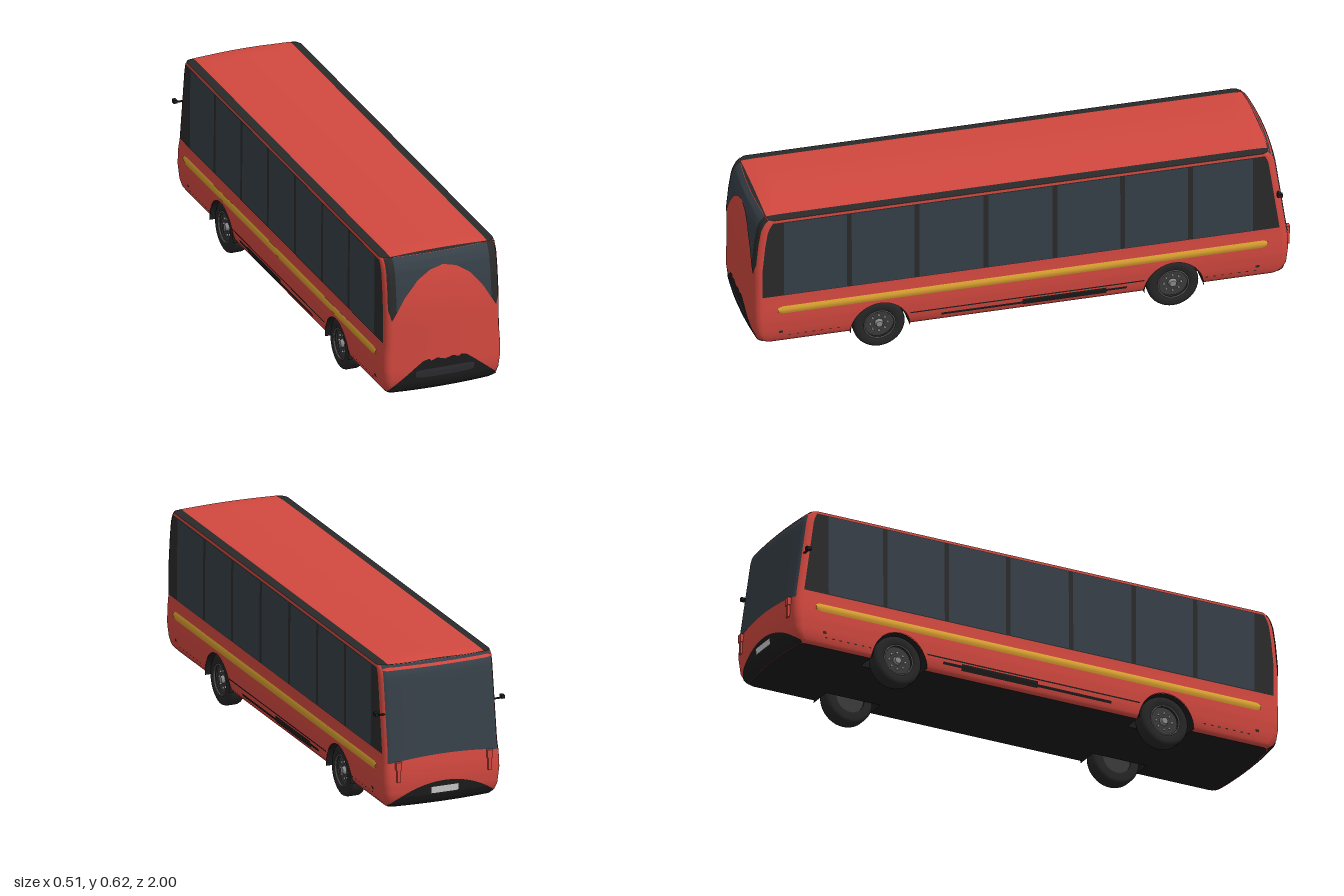
import * as THREE from 'three';
import { ParametricGeometry } from 'three/addons/geometries/ParametricGeometry.js';

const RED = 0xd2483f, DARK = 0x2a2a2a, BLACK = 0x1c1c1c, GLASS = 0x363f47, GOLD = 0xd9a030, STEEL = 0x8a8a8a;
const FLOOR = 0.08, BELT = 0.28, EAVE = 0.605, AXLES = [0.525, -0.56], ARCH = 0.11, ARCH_H = 0.115;

// body profiles by height: half width, +z end and -z end
const WIDTH = [[0.08, 0.205], [0.095, 0.217], [0.12, 0.223], [0.18, 0.228], [0.24, 0.226], [0.28, 0.2225], [0.605, 0.221]];
const ENDS = {
  1: [[0.08, 0.965], [0.095, 0.985], [0.12, 0.995], [0.16, 1], [0.4, 1], [0.5, 0.99], [0.56, 0.98], [0.59, 0.967], [0.605, 0.95]],
  '-1': [[0.08, 0.965], [0.095, 0.98], [0.12, 0.992], [0.18, 0.998], [0.24, 0.996], [0.4, 0.973], [0.56, 0.95], [0.59, 0.942], [0.605, 0.925]],
};
const ROWS = [0.08, 0.087, 0.095, 0.12, 0.14, 0.16, 0.18, 0.21, 0.24, 0.28, 0.34, 0.4, 0.45, 0.5, 0.56, 0.59, 0.605];

function look(table, k) {
  if (k <= table[0][0]) return table[0][1];
  for (let i = 1; i < table.length; i++) {
    const [a, p] = table[i - 1], [b, q] = table[i];
    if (k <= b) return p + ((q - p) * (k - a)) / (b - a);
  }
  return table[table.length - 1][1];
}
const lerp = THREE.MathUtils.lerp;
const width = (y) => look(WIDTH, y);
// end surface: t = -1..1 across the width, bowed, with rounded corners
function endZ(s, t, y) {
  const q = Math.min(1, Math.max(0, (Math.abs(t) - 0.886) / 0.114));
  return s * (look(ENDS[s], y) - 0.015 * t * t - 0.025 * (1 - Math.sqrt(1 - q * q)));
}
const sideZ = (z, y) => THREE.MathUtils.clamp(z, -look(ENDS[-1], y) + 0.04, look(ENDS[1], y) - 0.04);

export function createModel() {
  const bus = new THREE.Group();
  bus.name = 'bus';

  function add(name, geometry, color, x = 0, y = 0, z = 0, parent = bus) {
    const mesh = new THREE.Mesh(geometry, new THREE.MeshStandardMaterial({ color, side: THREE.DoubleSide }));
    mesh.name = name;
    mesh.position.set(x, y, z);
    parent.add(mesh);
    return mesh;
  }
  const box = (name, color, w, h, d, x, y, z) => add(name, new THREE.BoxGeometry(w, h, d), color, x, y, z);
  function sheet(name, color, fn, nu, nv) {
    const g = new ParametricGeometry(fn, nu, nv);
    g.computeVertexNormals();
    return add(name, g, color);
  }
  // skin panel on an end of the body; lo and hi are heights as functions of x
  function endPanel(name, color, s, t0, t1, lo, hi, lift = 0.002, nu = 60) {
    sheet(name, color, (u, v, p) => {
      const t = s * lerp(t0, t1, u), x0 = t * 0.222;
      const y = lerp(lo(x0), hi(x0), v);
      p.set(t * width(y) * (1 + lift / 0.22), y, endZ(s, t, y) + s * lift);
    }, nu, 16);
  }
  // skin panel on a side of the body
  function sidePanel(name, color, s, zFront, zBack, y0, y1, lift = 0.002, nu = 8) {
    sheet(name, color, (u, v, p) => {
      const y = lerp(y0, y1, v);
      p.set(s * (width(y) + lift), y, sideZ(lerp(zFront, zBack, s > 0 ? u : 1 - u), y));
    }, nu, 16);
  }

  // body shell: columns run round the plan, skirt rows are lifted over the wheel arches
  const across = [0, 0.2, 0.4, 0.6, 0.8, 0.886, 0.92, 0.95, 0.975, 0.993, 1];
  const ts = [...across.slice(1).reverse().map((t) => -t), ...across];
  const along = [0.88, 0.75, 0.2, 0, -0.2, -0.8];
  for (const c of AXLES) for (let k = 0; k <= 20; k++) along.push(c + ARCH * Math.cos((k / 20) * Math.PI));
  along.sort((a, b) => b - a);
  const columns = [
    ...ts.map((t) => ({ s: 1, t })), ...along.map((z) => ({ side: 1, z })),
    ...ts.map((t) => ({ s: -1, t: -t })), ...along.slice().reverse().map((z) => ({ side: -1, z })),
    { s: 1, t: -1 },
  ];
  function hem(z) {
    let y = FLOOR;
    for (const c of AXLES) {
      const d = (z - c) / ARCH;
      if (Math.abs(d) < 1) y += ARCH_H * Math.sqrt(1 - d * d);
    }
    return y;
  }
  sheet('bodyShell', RED, (u, v, p) => {
    const c = columns[Math.round(u * (columns.length - 1))];
    let y = ROWS[Math.round(v * (ROWS.length - 1))];
    if (c.side) {
      if (y < BELT) y = lerp(hem(c.z), BELT, (y - FLOOR) / (BELT - FLOOR));
      p.set(c.side * width(y), y, c.z);
    } else p.set(c.t * width(y), y, endZ(c.s, c.t, y));
  }, columns.length - 1, ROWS.length - 1);

  // domed roof: dark border with a red centre sheet
  function roof(name, color, half, z0, z1, lift) {
    sheet(name, color, (u, v, p) => {
      const t = half * Math.sin((v - 0.5) * Math.PI);
      const back = endZ(-1, t, EAVE), front = endZ(1, t, EAVE);
      const z = lerp(Math.max(back, z0), Math.min(front, z1), u);
      const edge = Math.min(1, Math.max(0, Math.min(z - back, front - z) / 0.05));
      p.set(t * 0.221, EAVE + lift + 0.01 * (1 - t * t) * Math.sqrt(edge), z);
    }, 80, 24);
  }
  roof('roofBorder', DARK, 1, -1, 1, 0);
  roof('roofSheet', RED, 0.85, -0.922, 0.938, 0.0015);

  // underside with notches for the wheels
  const outline = [];
  const notches = AXLES.flatMap((c) => [[0, c + ARCH], [1, c + ARCH], [1, c - ARCH], [0, c - ARCH]]);
  const edge = (s, list) => list.forEach(([inner, z]) => outline.push(new THREE.Vector2(s * (inner ? 0.13 : 0.205), z)));
  const endEdge = (s, dir) => ts.forEach((t) => outline.push(new THREE.Vector2(dir * t * 0.205, endZ(s, t, FLOOR))));
  endEdge(1, 1);
  edge(1, notches);
  endEdge(-1, -1);
  edge(-1, notches.slice().reverse());
  add('underside', new THREE.ShapeGeometry(new THREE.Shape(outline)).rotateX(Math.PI / 2), BLACK, 0, FLOOR, 0);

  // +z end: arched red panel framed by dark glass, dark bumper
  const archLine = [[0, 0.565], [0.05, 0.553], [0.1, 0.52], [0.15, 0.46], [0.2, 0.375], [0.212, 0.42]];
  const archY = (x) => look(archLine, Math.abs(x));
  const eave = () => EAVE;
  endPanel('rearGlass', GLASS, 1, -0.82, 0.82, archY, eave);
  for (const s of [-1, 1]) endPanel('rearPillar', DARK, 1, s > 0 ? 0.82 : -0.955, s > 0 ? 0.955 : -0.82, archY, eave, 0.002, 16);
  const bumperLine = [[0, 0.202], [0.03, 0.211], [0.052, 0.202], [0.06, 0.211], [0.083, 0.204], [0.2, 0.11], [0.222, 0.085]];
  endPanel('rearBumper', BLACK, 1, -0.97, 0.97, () => FLOOR, (x) => look(bumperLine, Math.abs(x)), 0.002, 120);
  endPanel('rearBumperPanel', 0x2d2d31, 1, -0.49, 0.49, (x) => 0.14 + 0.006 * (Math.abs(x) / 0.11) ** 8, (x) => 0.172 - 0.006 * (Math.abs(x) / 0.11) ** 8, 0.004);

  // -z end: windscreen, curved bumper, plate and lamps
  endPanel('windscreen', GLASS, -1, -0.95, 0.95, (x) => 0.27 - 0.4 * x * x, eave);
  endPanel('bumper', BLACK, -1, -0.97, 0.97, () => FLOOR, (x) => 0.17 - 1.75 * x * x);
  endPanel('plate', 0xcccccc, -1, -0.23, 0.23, () => 0.125, () => 0.15, 0.005, 8);

  for (const s of [-1, 1]) {
    // side windows
    sidePanel('windowBand', DARK, s, 1, -1, BELT + 0.003, 0.595, 0.002, 12);
    const posts = [0.89, 0.64, 0.39, 0.135, -0.12, -0.37, -0.62, -0.86];
    for (let i = 0; i < 7; i++) sidePanel('sideWindow', GLASS, s, posts[i] - 0.009, posts[i + 1] + 0.009, BELT + 0.006, 0.592, 0.0035);

    // gold stripe with tapered ends
    sheet('stripe', GOLD, (u, v, p) => {
      const z = 0.905 * Math.cos(Math.PI * (s > 0 ? u : 1 - u));
      const h = 0.015 * Math.min(1, 0.5 + (0.905 - Math.abs(z)) / 0.03);
      const y = 0.224 + h * (2 * v - 1);
      p.set(s * (width(y) + 0.002 + 0.004 * Math.sin(Math.PI * v)), y, z);
    }, 60, 8);

    // skirt seam, vents and marker dots
    sidePanel('skirtSeam', BLACK, s, 0.415, -0.45, 0.133, 0.138, 0.002);
    sidePanel('skirtVent', BLACK, s, 0.3, 0, 0.107, 0.117, 0.003);
    sidePanel('skirtVent', BLACK, s, 0, -0.31, 0.103, 0.128, 0.003);
    sidePanel('skirtVent', BLACK, s, -0.31, -0.385, 0.112, 0.122, 0.003);
    for (const end of [1, -1]) for (let i = 0; i < 7; i++) {
      const z = end * (0.68 + i * 0.03);
      sidePanel('marker', DARK, s, z + 0.005, z - 0.005, 0.11, 0.114, 0.002, 1);
    }
    sidePanel('markerLamp', DARK, s, 0.9, 0.885, 0.125, 0.135, 0.002, 1);
    sidePanel('markerLamp', DARK, s, -0.86, -0.875, 0.125, 0.135, 0.002, 1);

    // mirrors and lamp brackets
    box('mirrorArm', BLACK, 0.04, 0.005, 0.006, s * 0.226, 0.431, -0.945);
    box('mirrorHead', BLACK, 0.013, 0.013, 0.02, s * 0.247, 0.436, -0.945);
    box('lampBracket', RED, 0.014, 0.075, 0.012, s * 0.178, 0.22, -0.99);
    box('lampHead', RED, 0.022, 0.03, 0.016, s * 0.178, 0.243, -0.99);

    for (const z of AXLES) {
      // wheel housing
      const liner = new THREE.CylinderGeometry(ARCH, ARCH, 0.095, 24, 1, true, 0, Math.PI).rotateZ(Math.PI / 2).scale(1, ARCH_H / ARCH, 1);
      add('wheelArch', liner, BLACK, s * 0.1775, FLOOR, z);
      const wall = new THREE.CircleGeometry(ARCH, 24, 0, Math.PI).rotateY((s * Math.PI) / 2).scale(1, ARCH_H / ARCH, 1);
      add('wheelArchWall', wall, BLACK, s * 0.13, FLOOR, z);
      // wheel, built facing +x and turned for the other side
      const wheel = new THREE.Group();
      wheel.name = 'wheel';
      wheel.position.set(s * 0.184, 0.095, z);
      if (s < 0) wheel.rotation.y = Math.PI;
      bus.add(wheel);
      const lay = (g) => g.rotateZ(-Math.PI / 2);
      const tyre = [[0.056, 0.02], [0.06, 0.031], [0.082, 0.031], [0.092, 0.026], [0.095, 0.018], [0.095, -0.018], [0.092, -0.026], [0.082, -0.031], [0.056, -0.031]];
      add('tyre', lay(new THREE.LatheGeometry(tyre.slice().reverse().map(([r, a]) => new THREE.Vector2(r, a)), 40)), 0x262626, 0, 0, 0, wheel);
      add('rimDisc', lay(new THREE.CylinderGeometry(0.056, 0.056, 0.044, 32)), 0x3a3a3a, -0.006, 0, 0, wheel);
      add('rimRing', new THREE.TorusGeometry(0.056, 0.0025, 8, 40).rotateY(Math.PI / 2), STEEL, 0.028, 0, 0, wheel);
      add('hub', lay(new THREE.CylinderGeometry(0.012, 0.017, 0.014, 20)), STEEL, 0.021, 0, 0, wheel);
      for (let i = 0; i < 8; i++) {
        const a = (i / 8) * Math.PI * 2;
        add('wheelNut', lay(new THREE.CylinderGeometry(0.004, 0.004, 0.006, 6)), 0xcccccc, 0.018, 0.032 * Math.cos(a), 0.032 * Math.sin(a), wheel);
      }
    }
  }
  return bus;
}
